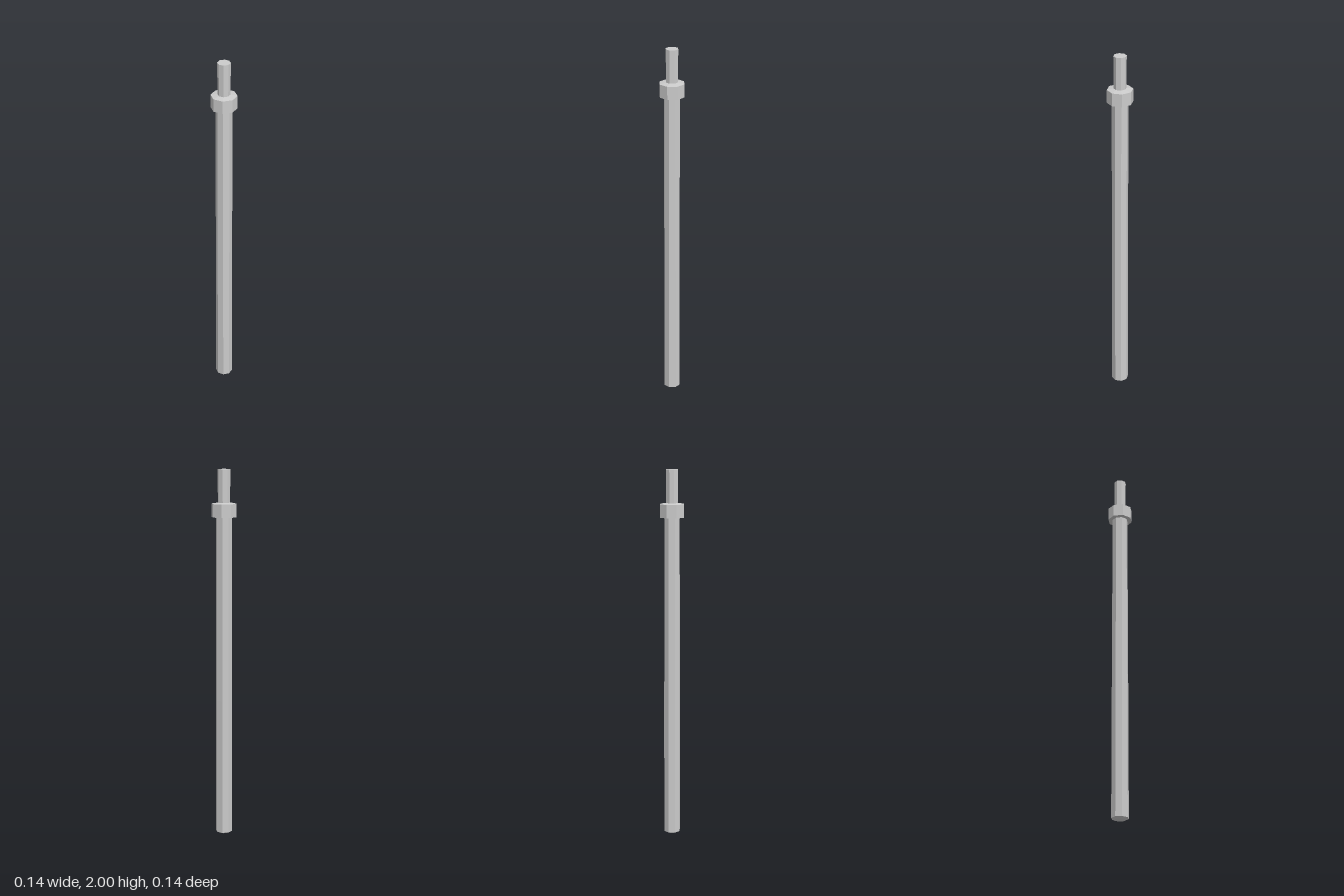
import * as THREE from 'three';

const SIDES = 8;

// Faceted turned part from [radius, height] pairs, listed bottom to top
function turned(name, profile) {
  const points = profile.map(([r, y]) => new THREE.Vector2(r, y));
  const material = new THREE.MeshStandardMaterial({ color: 0xcccccc, flatShading: true });
  const mesh = new THREE.Mesh(new THREE.LatheGeometry(points, SIDES), material);
  mesh.name = name;
  return mesh;
}

export function createModel() {
  const model = new THREE.Group();
  model.name = 'rod';
  model.add(
    // Long shaft with a slightly domed foot and a faint taper
    turned('shaft', [[0, 0], [0.03, 0.004], [0.046, 0.012], [0.045, 0.76], [0.043, 1.75]]),
    // Wide collar, its top sloping gently up to the stem
    turned('collar', [[0.043, 1.75], [0.068, 1.75], [0.068, 1.82], [0.033, 1.826]]),
    // Thin stem with a closed tip
    turned('stem', [[0.033, 1.826], [0.034, 2], [0, 2]])
  );
  return model;
}
